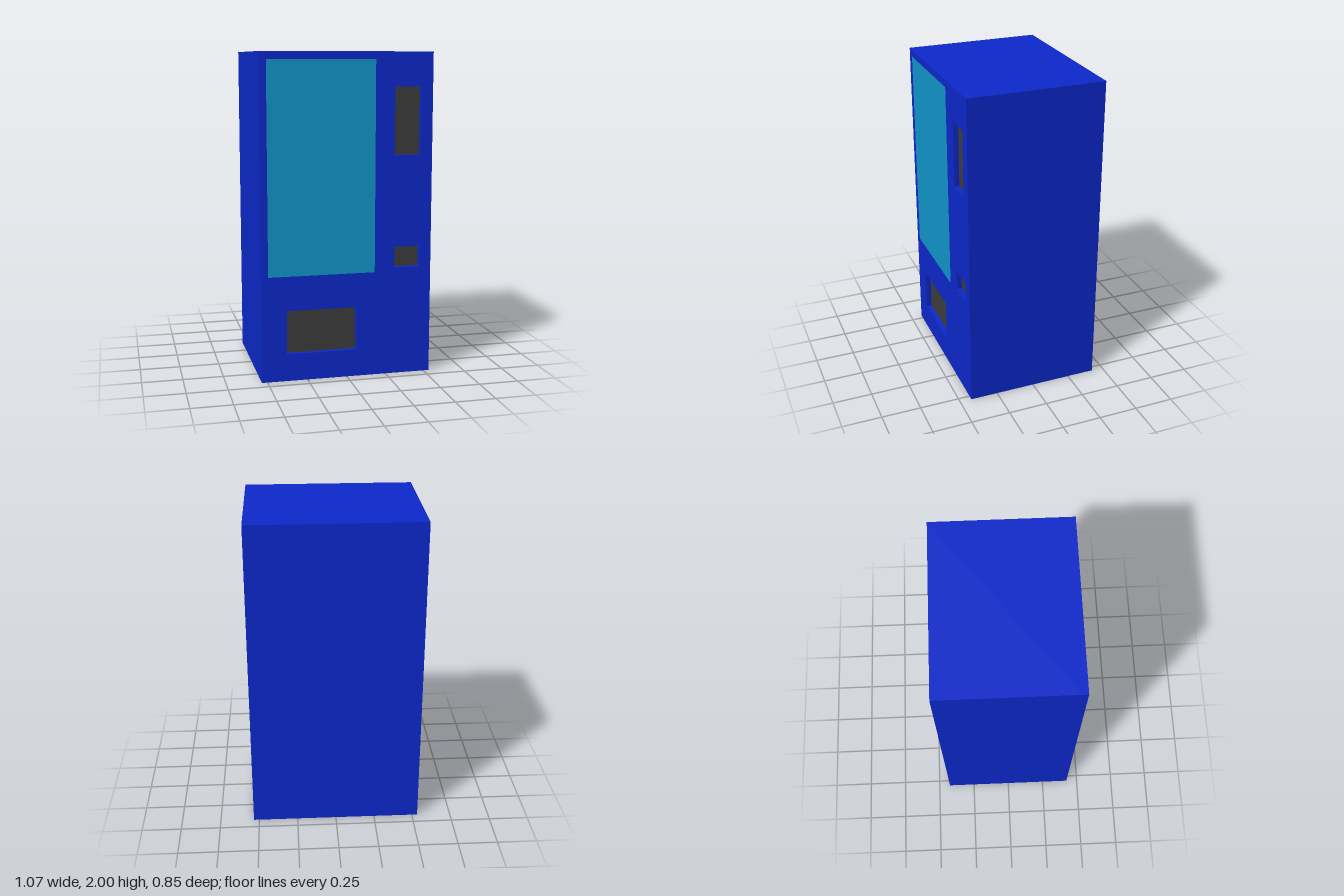
import * as THREE from 'three';

const W = 1.07, H = 2, D = 0.85, RECESS = 0.035;

// Openings in the front: [left, bottom, right, top]
const openings = {
  displayWindow: [-0.49, 0.655, 0.175, 1.955],
  keypadRecess: [0.296, 1.376, 0.462, 1.79],
  coinReturn: [0.3, 0.68, 0.462, 0.81],
  deliveryHatch: [-0.377, 0.17, 0.06, 0.441],
};

function tracePath(path, [l, b, r, t]) {
  path.moveTo(l, b);
  path.lineTo(r, b);
  path.lineTo(r, t);
  path.lineTo(l, t);
  path.closePath();
  return path;
}

export function createModel() {
  const group = new THREE.Group();
  const blue = new THREE.MeshStandardMaterial({ color: 0x0c28cc });
  const glass = new THREE.MeshStandardMaterial({ color: 0x1296cc });
  const dark = new THREE.MeshStandardMaterial({ color: 0x3c3c3c });

  const add = (name, geometry, material, x, y, z) => {
    const mesh = new THREE.Mesh(geometry, material);
    mesh.name = name;
    mesh.position.set(x, y, z);
    group.add(mesh);
  };

  // Cabinet behind the front panel
  const frontZ = D / 2, backZ = frontZ - RECESS;
  add('cabinet', new THREE.BoxGeometry(W, H, D - RECESS), blue, 0, H / 2, -RECESS / 2);

  // Front panel with its openings cut through
  const face = tracePath(new THREE.Shape(), [-W / 2, 0, W / 2, H]);
  for (const rect of Object.values(openings)) face.holes.push(tracePath(new THREE.Path(), rect));
  const panel = new THREE.ExtrudeGeometry(face, { depth: RECESS, bevelEnabled: false });
  add('frontPanel', panel, blue, 0, 0, backZ);

  // Glass sits flush with the front; the other inserts line the recess backs
  for (const [name, [l, b, r, t]] of Object.entries(openings)) {
    const isGlass = name === 'displayWindow';
    const thickness = isGlass ? RECESS : 0.003;
    const insert = new THREE.BoxGeometry(r - l, t - b, thickness);
    add(name, insert, isGlass ? glass : dark, (l + r) / 2, (b + t) / 2, backZ + thickness / 2);
  }

  return group;
}
